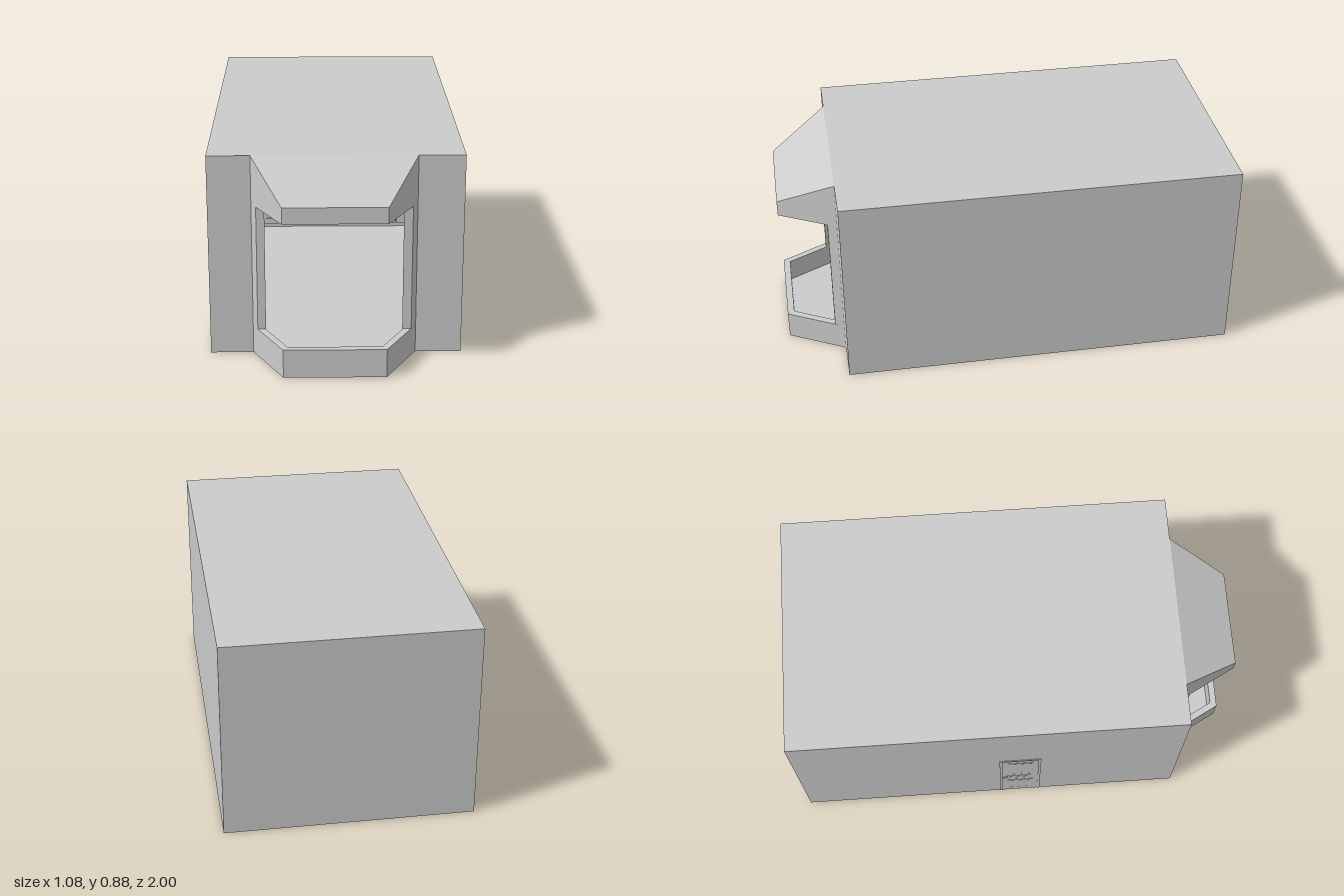
import * as THREE from 'three';

const W = 0.537, BACK = -1, FRONT = 0.75, TOP = 0.885, T = 0.03;
const SLOPE = 0.56; // fall of the bay roof per unit of depth

export function createModel() {
  const model = new THREE.Group();
  const mat = new THREE.MeshStandardMaterial({ color: 0xcccccc, flatShading: true });

  const add = (geo, name, parent = model) => {
    const mesh = new THREE.Mesh(geo, mat);
    mesh.name = name;
    parent.add(mesh);
    return mesh;
  };
  const box = (name, x0, x1, y0, y1, z0, z1, parent) => {
    const geo = new THREE.BoxGeometry(x1 - x0, y1 - y0, z1 - z0);
    geo.translate((x0 + x1) / 2, (y0 + y1) / 2, (z0 + z1) / 2);
    return add(geo, name, parent);
  };
  const group = (name) => {
    const g = new THREE.Group();
    g.name = name;
    model.add(g);
    return g;
  };

  // Extrude a floor-plan outline of [x, z] points from y0 to y1
  const toPoints = (pts) => pts.map(([x, z]) => new THREE.Vector2(x, -z));
  const plan = (pts, y0, y1, hole) => {
    const shape = new THREE.Shape(toPoints(pts));
    if (hole) shape.holes.push(new THREE.Path(toPoints(hole)));
    const geo = new THREE.ExtrudeGeometry(shape, { depth: y1 - y0, bevelEnabled: false });
    return geo.rotateX(-Math.PI / 2).translate(0, y0, 0);
  };
  // Lower every vertex above minY along the bay roof slope
  const slopeTop = (geo, minY) => {
    const p = geo.attributes.position;
    for (let i = 0; i < p.count; i++) {
      if (p.getY(i) > minY) p.setY(i, p.getY(i) - Math.max(0, p.getZ(i) - FRONT) * SLOPE);
    }
    geo.computeVertexNormals();
    return geo;
  };

  // Floor plans: room with a tapered bay, its inside, and the window cut at z = 0.79
  const body = [[W, FRONT], [W, BACK], [-W, BACK], [-W, FRONT]];
  const bay = [[-0.354, FRONT], [-0.222, 1], [0.207, 1], [0.341, FRONT]];
  const outer = [...body, ...bay];
  const innerBody = [[W - T, FRONT - T], [W - T, BACK + T], [-W + T, BACK + T], [-W + T, FRONT - T]];
  const inner = [...innerBody, [-0.336, FRONT - T], [-0.204, 0.97], [0.189, 0.97], [0.323, FRONT - T]];
  const cut = [
    [0.319, 0.79], [0.341, FRONT], ...body, [-0.354, FRONT], [-0.333, 0.79],
    [-0.298, 0.79], [-0.336, FRONT - T], ...innerBody.slice().reverse(), [0.323, FRONT - T], [0.281, 0.79],
  ];

  // Shell
  add(plan(outer, 0, 0.022), 'floor');
  add(plan(outer, 0.022, 0.125, inner), 'lowerWalls');
  add(plan(cut, 0.125, 0.675), 'windowLevelWalls');
  add(slopeTop(plan(outer, 0.675, TOP - T, inner), 0.7), 'upperWalls');
  add(plan(body, TOP - T, TOP), 'roof');
  add(slopeTop(plan(bay, TOP - T, TOP), 0.7), 'bayRoof');

  // Panel door on the right wall, raised on both faces
  const door = group('sideDoor');
  for (const s of [-1, 1]) {
    const face = s < 0 ? -W : -W + T;
    const layer = (name, z0, z1, y0, y1, d) =>
      box(name, face - d, face + d, y0, y1, z0, z1, door);
    layer('doorLeaf', -0.08, 0.11, 0.004, 0.5, 0.001);
    for (const z of [-0.08, 0.098]) layer('doorJamb', z, z + 0.012, 0.004, 0.503, 0.003);
    layer('doorHead', -0.08, 0.11, 0.491, 0.503, 0.003);
    for (const [y0, y1] of [[0.04, 0.18], [0.21, 0.255], [0.285, 0.46]]) {
      layer('doorPanel', -0.045, 0.075, y0, y1, 0.002);
      layer('doorPanelField', -0.035, 0.065, y0 + 0.01, y1 - 0.01, 0.003);
    }
    layer('doorHandle', -0.07, -0.045, 0.23, 0.237, 0.006);
  }

  // Kitchen along the back wall
  const kitchen = group('kitchen');
  const wallZ = BACK + T, baseZ = -0.76, upperZ = -0.85;
  // Cabinet front: slab, raised rails and a raised centre panel
  const front = (name, x0, x1, y0, y1, z, rx = 0.028, ry = 0.028) => {
    box(name, x0, x1, y0, y1, z, z + 0.006, kitchen);
    for (const [a, b] of [[x0, x0 + rx], [x1 - rx, x1]]) box(name + 'Stile', a, b, y0, y1, z, z + 0.012, kitchen);
    for (const [a, b] of [[y0, y0 + ry], [y1 - ry, y1]]) box(name + 'Rail', x0 + rx, x1 - rx, a, b, z, z + 0.012, kitchen);
    box(name + 'Panel', x0 + rx + 0.005, x1 - rx - 0.005, y0 + ry + 0.005, y1 - ry - 0.005, z, z + 0.009, kitchen);
  };

  // Tall cupboard with two doors
  box('tallCupboard', -0.47, -0.278, 0.022, 0.505, wallZ, baseZ, kitchen);
  front('tallLowerDoor', -0.468, -0.28, 0.04, 0.35, baseZ, 0.012, 0.03);
  front('tallUpperDoor', -0.468, -0.28, 0.358, 0.503, baseZ, 0.012, 0.012);

  // Base cabinets, worktop and drawers
  box('baseCabinet', -0.278, W - T, 0.022, 0.235, wallZ, baseZ, kitchen);
  box('worktopSupport', -0.278, W - T, 0.235, 0.252, wallZ, baseZ - 0.015, kitchen);
  box('worktop', -0.278, W - T, 0.252, 0.275, wallZ, baseZ + 0.02, kitchen);
  for (const y of [0.047, 0.106, 0.165]) front('drawer', -0.266, -0.13, y, y + 0.056, baseZ, 0.016, 0.014);
  const columns = [[-0.12, -0.012], [-0.008, 0.1], [0.108, 0.223], [0.227, 0.34], [0.344, 0.457]];
  for (const [x0, x1] of columns) front('baseDoor', x0, x1, 0.045, 0.222, baseZ, 0.026, 0.024);

  // Wall cabinets
  box('leftWallCabinet', -0.278, -0.12, 0.4, 0.583, wallZ, upperZ, kitchen);
  front('leftWallDoor', -0.263, -0.134, 0.408, 0.577, upperZ, 0.03, 0.03);
  box('rightWallCabinet', 0.107, W - T, 0.4, 0.583, wallZ, upperZ, kitchen);
  for (const [x0, x1] of columns.slice(2)) front('rightWallDoor', x0 + 0.002, x1, 0.408, 0.577, upperZ, 0.029, 0.03);

  return model;
}
